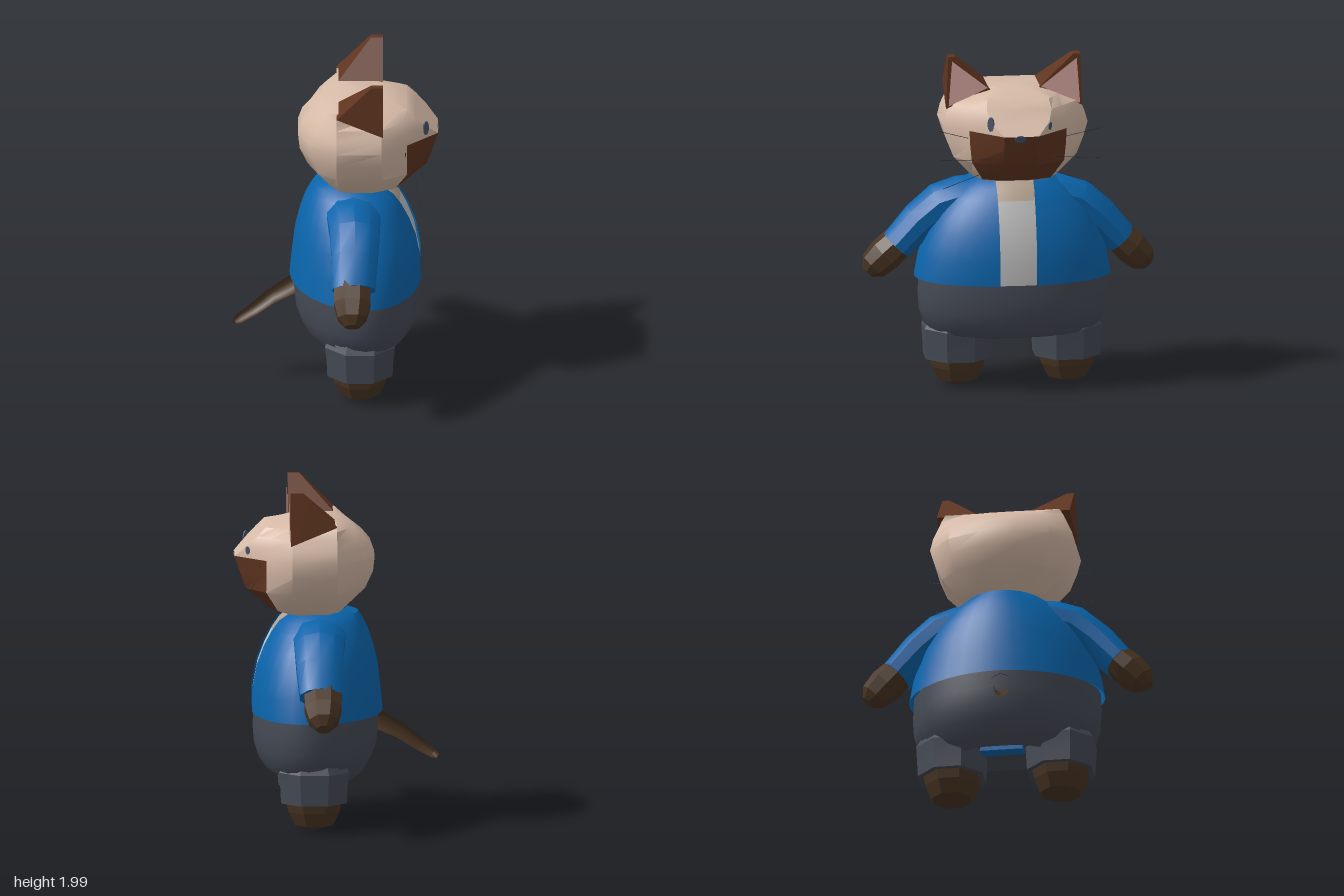
import * as THREE from 'three';
import { toCreasedNormals } from 'three/addons/utils/BufferGeometryUtils.js';

const V = (x, y, z) => new THREE.Vector3(x, y, z);
const mat = (name, color, open) => {
  const m = new THREE.MeshStandardMaterial({ color });
  m.name = name;
  if (open) m.side = THREE.DoubleSide;
  return m;
};

// Skins a stack of rings (bottom to top, points running from +x towards +z).
function loft(rings, { closed = true, caps = true, crease = 0.6, keep = () => true } = {}) {
  const pos = [], n = rings[0].length;
  const tri = (...p) => p.forEach(v => pos.push(v.x, v.y, v.z));
  for (let i = 0; i < rings.length - 1; i++)
    for (let j = 0; j < (closed ? n : n - 1); j++) {
      if (!keep(i, j)) continue;
      const k = (j + 1) % n, a = rings[i][j], b = rings[i][k], c = rings[i + 1][k], d = rings[i + 1][j];
      tri(a, d, b);
      tri(b, d, c);
    }
  if (closed && caps)
    [rings[0], [...rings[rings.length - 1]].reverse()].forEach(r => {
      const mid = r.reduce((s, p) => s.add(p), V(0, 0, 0)).divideScalar(n);
      r.forEach((p, j) => tri(mid, p, r[(j + 1) % n]));
    });
  const g = new THREE.BufferGeometry();
  g.setAttribute('position', new THREE.Float32BufferAttribute(pos, 3));
  return toCreasedNormals(g, crease);
}

// Egg-shaped body section [y, back x, front x, half width], widest ahead of its middle.
const Z0 = -0.015;
function section([y, xb, xf, hz], from, to, steps, grow = 0) {
  const pts = [], cx = (xb + xf) / 2, hx = (xf - xb) / 2 + grow;
  for (let i = 0; i <= steps; i++) {
    const a = from + (to - from) * i / steps;
    pts.push(V(cx + hx * (Math.cos(a) + .13 * Math.sin(a) ** 2), y, Z0 + (hz + grow) * Math.sin(a)));
  }
  return pts;
}
const fullSection = (r, n = 28) => section(r, 0, Math.PI * 2, n).slice(0, n);

// Limb with oval sections [x, y, z, radius across, radius along x].
function limb(stops, sides, crease) {
  const c = stops.map(s => V(s[0], s[1], s[2])), ex = V(1, 0, 0);
  return loft(stops.map((s, i) => {
    const d = c[Math.min(i + 1, c.length - 1)].clone().sub(c[Math.max(i - 1, 0)]);
    const e2 = ex.clone().cross(d).normalize();
    return Array.from({ length: sides }, (_, j) => {
      const a = (j + 0.5) / sides * Math.PI * 2;
      return c[i].clone().addScaledVector(ex, s[4] * Math.cos(a)).addScaledVector(e2, s[3] * Math.sin(a));
    });
  }), { crease });
}

export function createModel() {
  const group = new THREE.Group();
  const fur = mat('cream fur', 0xd6baa7), brown = mat('brown fur', 0x603520), paw = mat('dark paw fur', 0x4a3523);
  const pink = mat('ear pink', 0xd6a5a0, true), slate = mat('eye slate', 0x4a5468), black = mat('whisker black', 0x2c2c32);
  const blue = mat('jacket blue', 0x0a64ab, true), cloth = mat('trouser grey', 0x454a55, true);
  const white = mat('shirt grey', 0xbcbcbc, true), tan = mat('collar tan', 0xb3a08e, true);
  const add = (name, geo, m) => {
    const mesh = new THREE.Mesh(geo, m);
    mesh.name = name;
    group.add(mesh);
    return mesh;
  };

  // Head: faceted rings, each half listed from nose to nape as [x, z]
  const headRings = [
    [1.25, [.28, .07], [.27, .14], [.2, .2], [.06, .2], [0, .14], [-.01, .06]],
    [1.28, [.385, .1], [.34, .2], [.24, .25], [.02, .25], [-.03, .17], [-.05, .07]],
    [1.40, [.525, .1], [.41, .27], [.26, .36], [0, .355], [-.11, .26], [-.17, .1]],
    [1.50, [.56, .1], [.41, .28], [.26, .4], [0, .395], [-.14, .285], [-.215, .11]],
    [1.59, [.59, .1], [.41, .285], [.26, .425], [0, .425], [-.15, .295], [-.225, .11]],
    [1.66, [.52, .17], [.4, .28], [.26, .405], [0, .408], [-.13, .285], [-.2, .11]],
    [1.72, [.46, .19], [.38, .26], [.26, .37], [0, .38], [-.1, .265], [-.15, .1]],
    [1.77, [.41, .18], [.36, .21], [.26, .25], [0, .358], [-.06, .24], [-.09, .08]],
    [1.81, [.28, .07], [.27, .1], [.25, .14], [0, .335], [0, .22], [0, .06]],
  ].map(([y, ...half]) => [
    ...half.map(([x, z]) => V(x, y, z - .02)),
    ...half.reverse().map(([x, z]) => V(x, y, -z - .02)),
  ]);
  const isMuzzle = (i, j) => i >= 1 && i < 4 && (j === 0 || j >= 10);
  const head = add('head', loft(headRings, { crease: .6, keep: (i, j) => !isMuzzle(i, j) }), fur);
  const muzzle = add('muzzle', loft(headRings, { caps: false, crease: .6, keep: isMuzzle }), brown);

  // Eyes and nose: thin ovals laid on the face
  const ray = new THREE.Raycaster();
  const spot = (name, y, z, w, h) => {
    ray.set(V(2, y, z), V(-1, 0, 0));
    const hit = ray.intersectObjects([head, muzzle])[0];
    const geo = new THREE.CylinderGeometry(1, 1, 1, 14).rotateX(Math.PI / 2).scale(w, h, .009);
    const m = add(name, geo, slate);
    m.position.copy(hit.point);
    m.lookAt(hit.point.clone().add(hit.face.normal));
  };
  spot('leftEye', 1.652, .152, .022, .043);
  spot('rightEye', 1.634, -.193, .016, .024);
  spot('nose', 1.574, -.012, .036, .022);

  // Ears: blunt pyramids with a pink inner face
  const earZ = -.015;
  for (const s of [1, -1]) {
    const side = s > 0 ? 'left' : 'right';
    const at = ([x, y, z]) => V(x, y, earZ + s * (z - earZ));
    const ring = pts => s > 0 ? pts.map(at) : pts.map(at).reverse();
    add(side + 'Ear', loft([
      ring([[.27, 1.8, .125], [.27, 1.69, .385], [0, 1.8, .375], [0, 1.8, .125]]),
      ring([[.27, 2, .33], [.27, 2, .372], [.2, 2, .372], [.2, 2, .33]]),
    ], { crease: .1 }), brown);
    const inner = new THREE.BufferGeometry().setFromPoints(
      ring([[.274, 1.81, .14], [.274, 1.705, .37], [.274, 1.975, .35]]).reverse());
    inner.computeVertexNormals();
    add(side + 'InnerEar', inner, pink);
  }

  // Whiskers: [root, tip]
  [
    [[.4, 1.525, .2], [.4, 1.59, .44]], [[.49, 1.435, .14], [.5, 1.44, .44]], [[.455, 1.36, .15], [.485, 1.265, .43]],
    [[.44, 1.53, -.2], [.455, 1.6, -.51]], [[.47, 1.44, -.18], [.52, 1.435, -.49]], [[.43, 1.355, -.18], [.485, 1.27, -.47]],
  ].forEach(([a, b]) => {
    const path = new THREE.LineCurve3(V(...a), V(...b));
    add('whisker', new THREE.TubeGeometry(path, 1, .0016, 4), black);
  });

  // Jacket, left open along the chest, over a shirt strip and collar
  const body = [
    [.67, -.262, .482, .562], [.8, -.25, .482, .54], [.95, -.232, .455, .49], [1.06, -.205, .415, .43],
    [1.15, -.175, .37, .36], [1.21, -.145, .33, .29], [1.25, -.12, .28, .23], [1.272, -.05, .24, .17],
  ];
  const gap = r => Math.asin(.105 / r[3]);
  add('jacket', loft(body.map(r => section(r, gap(r), Math.PI * 2 - gap(r), 32, .012)), { closed: false }), blue);
  const strip = rows => loft(rows.map(r => section(r, -gap(r) - .06, gap(r) + .06, 6)), { closed: false });
  add('shirt', strip(body.slice(0, 5)), white);
  add('collar', strip(body.slice(4)), tan);
  add('neckBand', loft([[1.2, -.06, .26, .21], [1.268, -.045, .25, .19]].map(r => fullSection(r))), white);

  // Trousers with a separate seat panel hanging lower behind
  const hips = [
    [.32, -.02, .33, .4], [.345, -.14, .41, .48], [.4, -.195, .45, .525],
    [.48, -.225, .475, .548], [.58, -.235, .483, .555], [.69, -.24, .478, .548],
  ];
  add('trousers', loft(hips.map(r => fullSection(r))), cloth);
  const seat = [[.27, -.09, .3, .34], [.32, -.15, .38, .44], ...hips.slice(2)];
  add('seatPanel', loft(seat.map(r => section(r, 2.1, Math.PI * 2 - 2.1, 18, .012)), { closed: false }), cloth);
  const tab = new THREE.BoxGeometry(.08, .025, .25);
  add('jacketTab', tab.translate(-.01, .278, -.02), blue);

  // Arms, paws, trouser legs and feet
  for (const s of [1, -1]) {
    const side = s > 0 ? 'left' : 'right';
    add(side + 'Sleeve', limb([
      [.1, .842, s * .655, .1, .13], [.105, .99, s * .52, .114, .142], [.105, 1.09, s * .4, .12, .152],
      [.1, 1.125, s * .28, .12, .165], [.1, 1.145, s * .15, .107, .165],
    ], 10, .6), blue);
    add(side + 'Hand', limb([
      [.09, .682, s * .822, .042, .045], [.09, .718, s * .788, .088, .09],
      [.09, .785, s * .72, .103, .116], [.09, .865, s * .635, .095, .116],
    ], 8, .2), paw);
    const z = s * .32 - .015;
    add(side + 'TrouserLeg', limb([
      [.135, .178, z, .205, .205], [.135, .27, z, .21, .21], [.135, .36, z, .215, .22], [.135, .42, z, .18, .19],
    ], 8, .2), cloth);
    add(side + 'Foot', limb([
      [.135, .01, z, .015, .015], [.135, .045, z, .12, .12], [.135, .125, z, .16, .16], [.135, .19, z, .175, .175],
    ], 8, .2), paw);
  }

  // Tail: tapering, drooping behind
  const tailStops = [[-.595, .378, .05, .018], [-.57, .395, .05, .034], [-.48, .455, .045, .044],
    [-.38, .53, .03, .052], [-.26, .595, .01, .064], [-.17, .625, 0, .068]];
  add('tail', loft(tailStops.map(([x, y, z, r]) => Array.from({ length: 8 }, (_, j) => {
    const a = j / 8 * Math.PI * 2;
    return V(x - .45 * r * Math.cos(a), y + .75 * r * Math.cos(a), z + r * Math.sin(a));
  })), { crease: .9 }), paw);

  return group;
}
